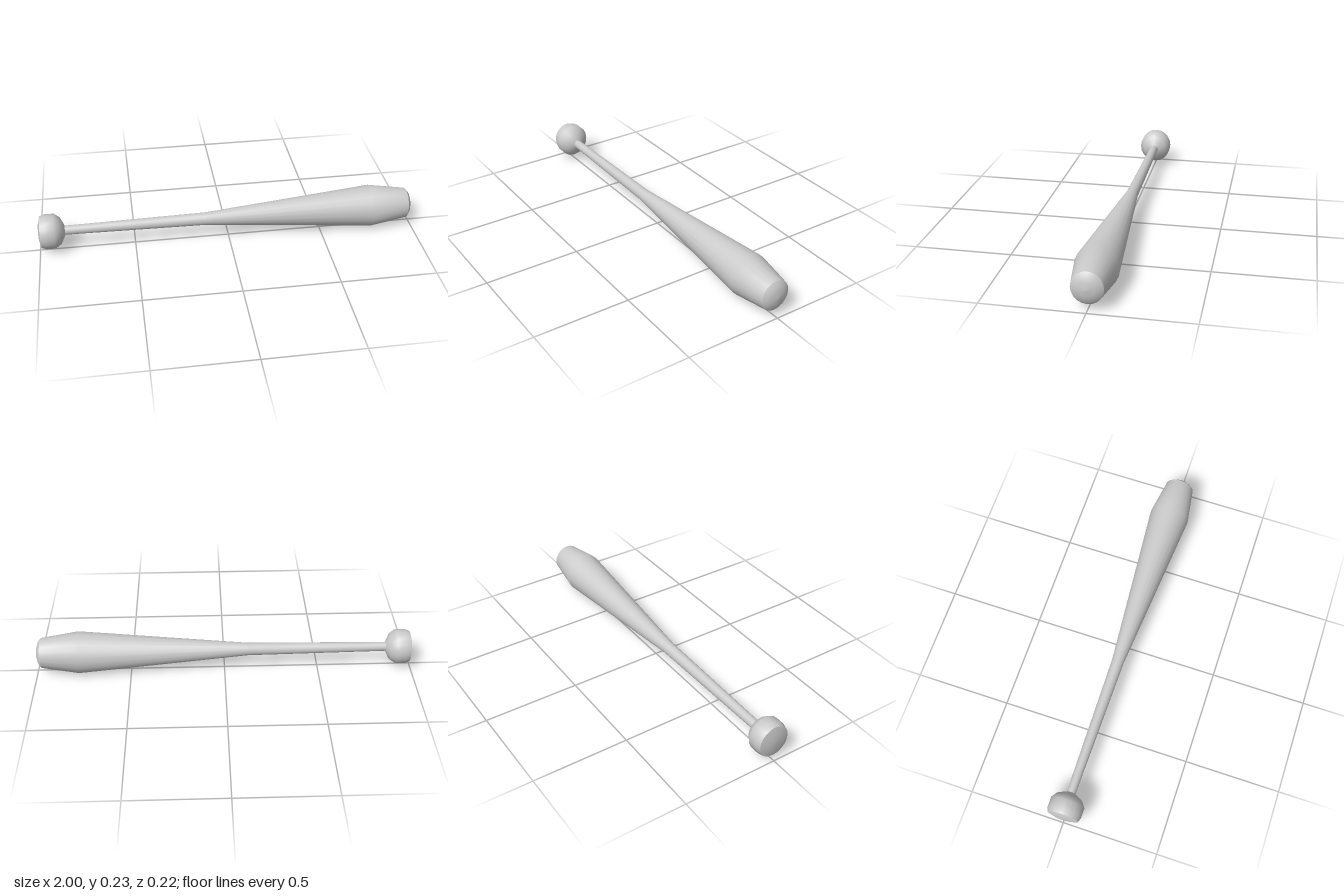
import * as THREE from 'three';

const SIDES = 20;
const CENTRE_Y = 0.114;
const DEPTH = 0.957; // slightly narrower front to back

export function createModel() {
  const group = new THREE.Group();
  group.name = 'bat';
  const material = new THREE.MeshStandardMaterial({ color: 0xcccccc });

  // Turn a profile of [x along the bat, radius] around the long axis
  function turned(name, profile) {
    const points = profile.map(([x, r]) => new THREE.Vector2(r, x));
    const geometry = new THREE.LatheGeometry(points, SIDES);
    geometry.rotateZ(-Math.PI / 2);
    geometry.scale(1, 1, DEPTH);
    geometry.translate(0, CENTRE_Y, 0);
    const mesh = new THREE.Mesh(geometry, material);
    mesh.name = name;
    group.add(mesh);
  }

  // Shallow domed butt of the knob
  turned('knobEnd', [[-1, 0], [-0.998, 0.045], [-0.988, 0.085]]);

  // Rounded knob narrowing into the handle
  turned('knob', [
    [-0.988, 0.085], [-0.963, 0.093], [-0.915, 0.093],
    [-0.885, 0.071], [-0.868, 0.038], [-0.862, 0.024],
  ]);

  // Thin handle, long flare and tapered barrel
  turned('handleAndBarrel', [
    [-0.87, 0.024], [-0.5, 0.029], [-0.123, 0.034], [0.775, 0.113], [0.973, 0.081],
  ]);

  // Domed barrel tip
  turned('barrelEnd', [[0.973, 0.081], [0.987, 0.062], [0.996, 0.035], [1, 0]]);

  return group;
}
